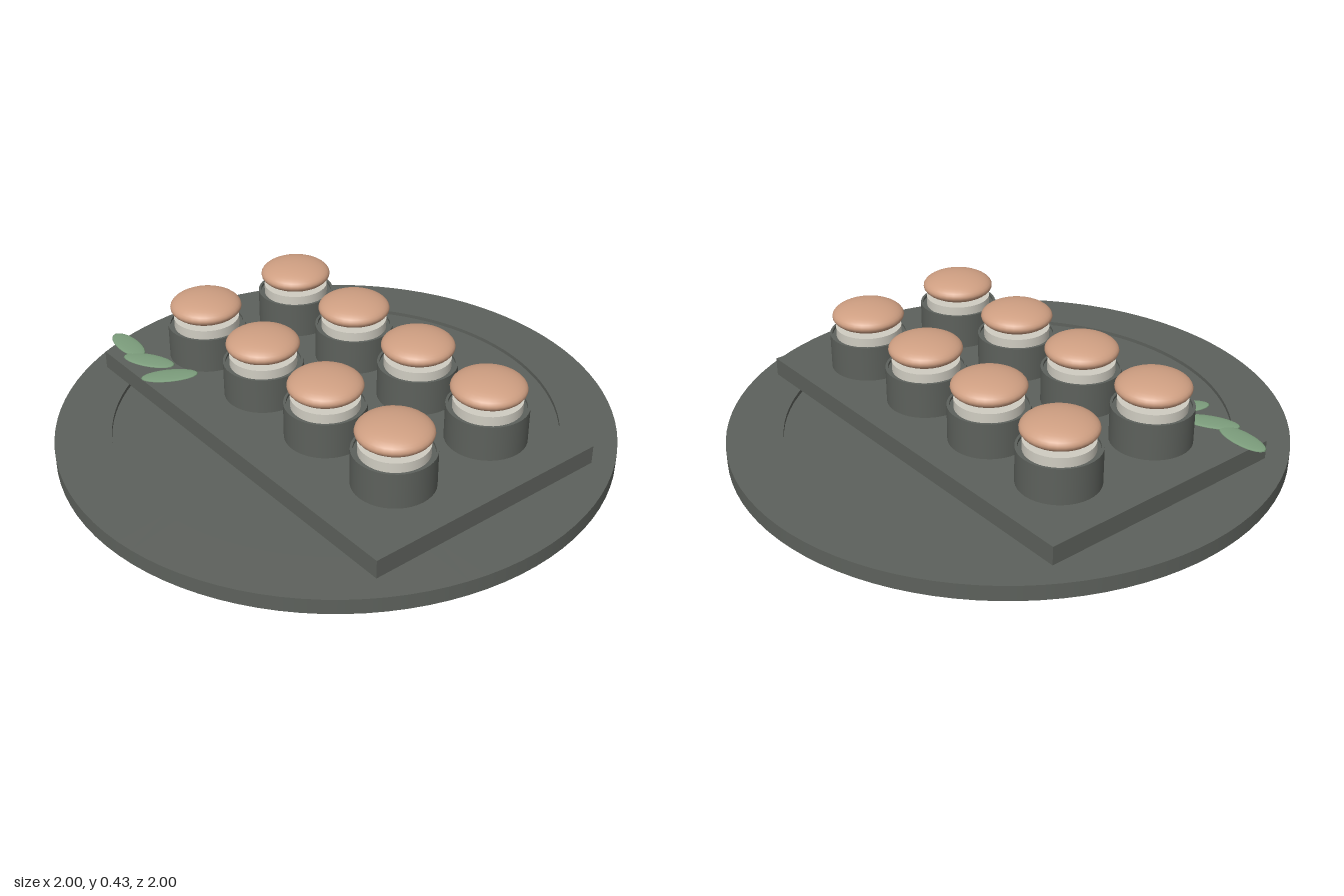
import * as THREE from 'three';

const mat = (name, color, side = THREE.FrontSide) => {
  const m = new THREE.MeshStandardMaterial({ color, side });
  m.name = name;
  return m;
};

export function createModel() {
  const model = new THREE.Group();
  model.name = 'dessertPlatter';
  const stone = mat('dark stone', 0x5d615c);
  const cream = mat('cream', 0xd0cdc2);
  const crust = mat('baked crust', 0xcf9f82);
  const green = mat('leaf green', 0x7c9d7c);

  const add = (parent, name, geometry, material, x = 0, y = 0, z = 0) => {
    const mesh = new THREE.Mesh(geometry, material);
    mesh.name = name;
    mesh.position.set(x, y, z);
    parent.add(mesh);
    return mesh;
  };
  // Sharp-edged turned solid: each profile segment keeps its own normals
  const turned = (points, segments) => {
    const profile = [];
    for (let i = 0; i < points.length - 1; i++) profile.push([points[i], points[i + 1]]);
    return profile.map(pair =>
      new THREE.LatheGeometry(pair.map(([r, y]) => new THREE.Vector2(r, y)), segments));
  };
  const addTurned = (parent, name, points, segments, material) => {
    const group = new THREE.Group();
    group.name = name;
    turned(points, segments).forEach((g, i) => add(group, `${name}Face${i + 1}`, g, material));
    parent.add(group);
    return group;
  };

  // Round plate with a shallow well, on a smaller foot
  add(model, 'plateFoot', new THREE.CylinderGeometry(0.87, 0.87, 0.045, 96), stone, 0, 0.0225, 0);
  addTurned(model, 'plate',
    [[0, 0.042], [1, 0.042], [1, 0.098], [0.8, 0.098], [0.8, 0.084], [0, 0.084]], 96, stone);

  // Rectangular serving slab
  add(model, 'servingSlab', new THREE.BoxGeometry(1.58, 0.068, 0.96), stone, 0, 0.144, 0);

  // Two rows of four cups, each with a cream filling and a domed cap
  const bun = new THREE.SphereGeometry(1, 32, 20).scale(0.131, 0.046, 0.131);
  const filling = new THREE.CylinderGeometry(0.12, 0.12, 0.05, 40);
  for (const z of [-0.231, 0.184]) {
    for (const x of [-0.534, -0.181, 0.172, 0.525]) {
      const dessert = new THREE.Group();
      dessert.name = 'dessert';
      dessert.position.set(x, 0, z);
      addTurned(dessert, 'cup',
        [[0, 0.184], [0.143, 0.184], [0.143, 0.316], [0.134, 0.316], [0.134, 0.306], [0, 0.306]],
        40, stone);
      add(dessert, 'filling', filling, cream, 0, 0.317, 0);
      add(dessert, 'cap', bun, crust, 0, 0.384, 0);
      model.add(dessert);
    }
  }

  // Sprig of three flattened leaves at the front corner
  const leaf = new THREE.SphereGeometry(1, 20, 10).scale(0.104, 0.006, 0.043);
  for (const [x, z, turn] of [[-0.748, 0.402, -0.06], [-0.603, 0.403, 0.52], [-0.465, 0.402, 1.08]]) {
    add(model, 'leaf', leaf, green, x, 0.197, z).rotation.y = turn;
  }
  return model;
}
